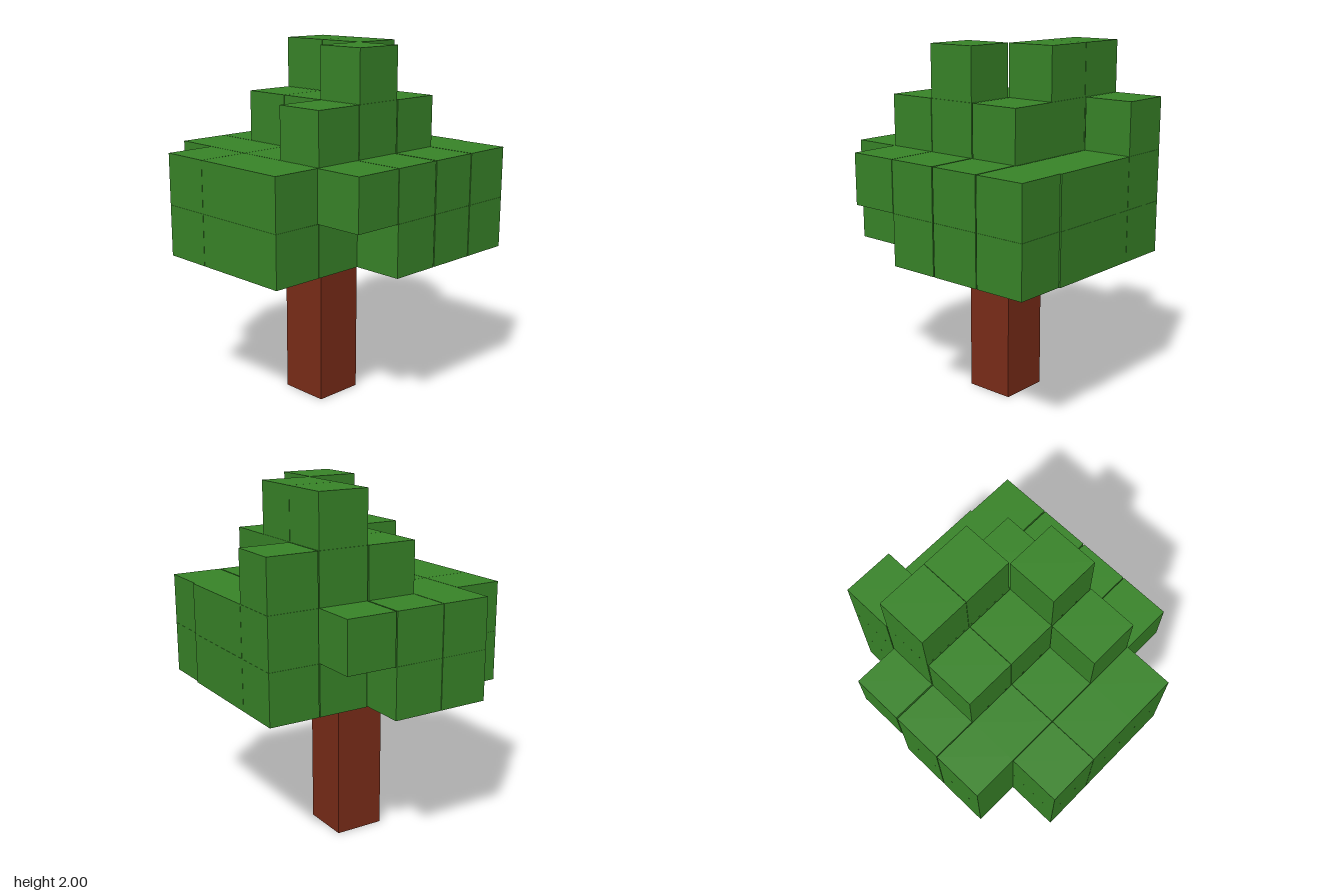
import * as THREE from 'three';

const SIZE = 0.285;
const COLUMN_X = [-0.583, -0.295, -0.006, 0.286, 0.577];
const ROW_Z = [-0.555, -0.302, -0.015, 0.27, 0.553];

// Leaf layers from bottom to top; rows run back to front, columns from -x to +x
const LAYERS = [
  ['.##..', '#####', '#####', '#####', '..###'],
  ['.###.', '#####', '#####', '#####', '.####'],
  ['.....', '..###', '..##.', '.###.', '.....'],
  ['.....', '...#.', '...#.', '..#..', '.....'],
];

export function createModel() {
  const tree = new THREE.Group();
  tree.name = 'blockTree';
  const bark = new THREE.MeshStandardMaterial({ color: 0x7a2c18, flatShading: true });
  const leaf = new THREE.MeshStandardMaterial({ color: 0x388428, flatShading: true });

  // Square trunk
  const trunk = new THREE.Mesh(new THREE.BoxGeometry(SIZE, 0.857, SIZE), bark);
  trunk.name = 'trunk';
  trunk.position.set(-0.003, 0.857 / 2, ROW_Z[2]);
  tree.add(trunk);

  // Leaf cubes, with hairline gaps between neighbours
  const cube = new THREE.BoxGeometry(SIZE, SIZE, SIZE);
  LAYERS.forEach((rows, level) => {
    const layer = new THREE.Group();
    layer.name = `leafLayer${level + 1}`;
    rows.forEach((row, r) => {
      [...row].forEach((cell, c) => {
        if (cell !== '#') return;
        const block = new THREE.Mesh(cube, leaf);
        block.name = 'leafBlock';
        // The front row sits slightly off the grid
        const shift = r === 4 ? -0.009 : 0;
        block.position.set(COLUMN_X[c] + shift, 1 + level * 0.2858, ROW_Z[r]);
        layer.add(block);
      });
    });
    tree.add(layer);
  });

  return tree;
}
